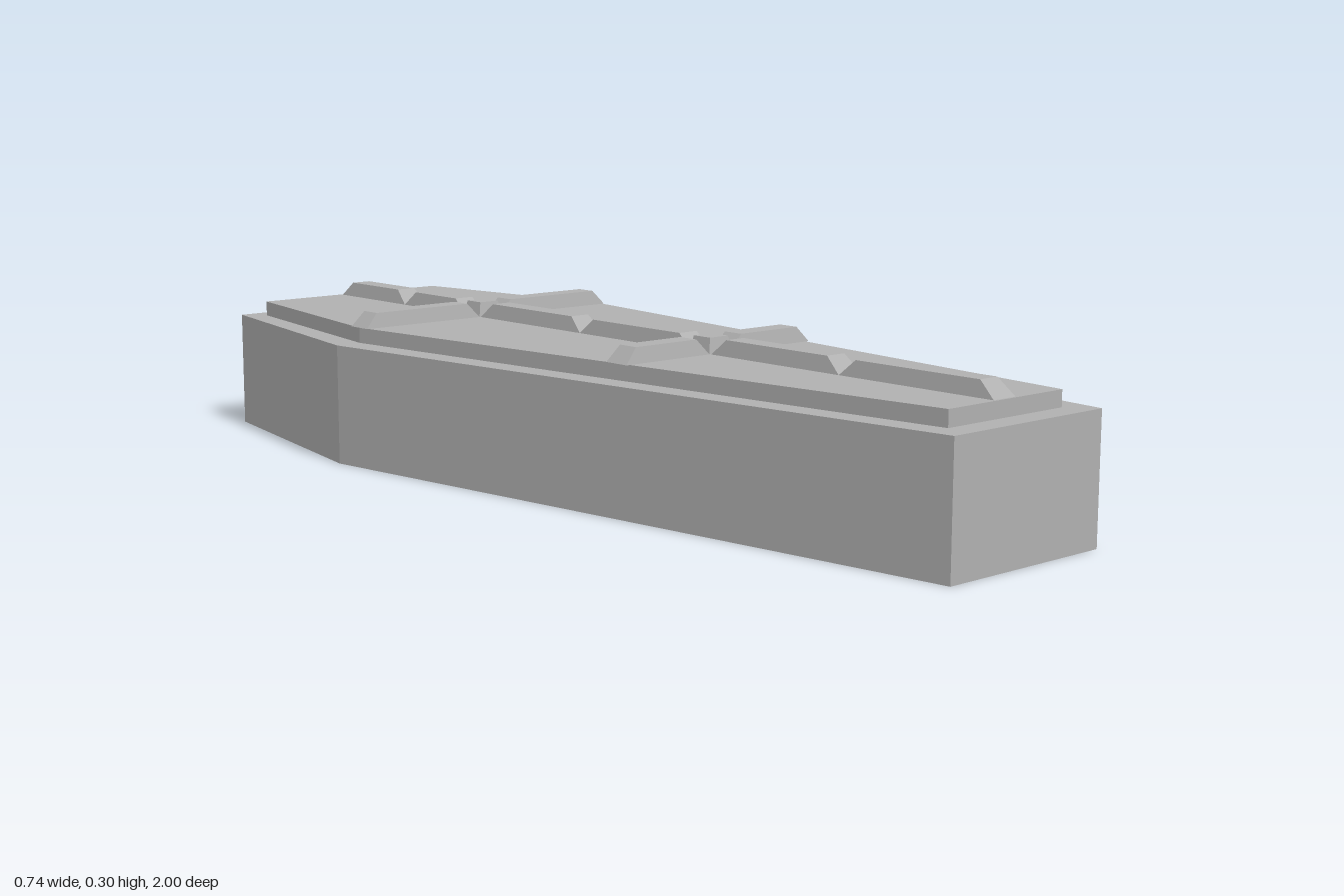
import * as THREE from 'three';

const stone = new THREE.MeshStandardMaterial({ color: 0xb0b0b0 });
stone.name = 'stone grey';

const LID_TOP = 0.274;
const RIB_HEIGHT = 0.03;
const RIB_HALF = 0.028;

// Six-sided tapered slab; sections are [z, halfWidth] from front to back
function slab(name, sections, y, height) {
  const right = sections.map(([z, w]) => new THREE.Vector2(w, -z));
  const left = sections.map(([z, w]) => new THREE.Vector2(-w, -z)).reverse();
  const geo = new THREE.ExtrudeGeometry(new THREE.Shape([...right, ...left]), { depth: height, bevelEnabled: false });
  geo.rotateX(-Math.PI / 2);
  geo.translate(0, y, 0);
  const mesh = new THREE.Mesh(geo, stone);
  mesh.name = name;
  return mesh;
}

// Raised bar spanning x0..x1 and z0..z1, its top edges pulled in by insetX and insetZ
function rib(name, x0, x1, z0, z1, insetX, insetZ) {
  const w = x1 - x0, d = z1 - z0;
  const geo = new THREE.BoxGeometry(w, RIB_HEIGHT, d);
  const p = geo.attributes.position;
  for (let i = 0; i < p.count; i++) {
    if (p.getY(i) < 0) continue;
    p.setX(i, Math.sign(p.getX(i)) * (w / 2 - insetX));
    p.setZ(i, Math.sign(p.getZ(i)) * (d / 2 - insetZ));
  }
  geo.computeVertexNormals();
  geo.translate((x0 + x1) / 2, LID_TOP + RIB_HEIGHT / 2, (z0 + z1) / 2);
  const mesh = new THREE.Mesh(geo, stone);
  mesh.name = name;
  return mesh;
}

export function createModel() {
  const model = new THREE.Group();
  model.name = 'coffin';

  // Box and the smaller lid on it
  model.add(slab('box', [[1, 0.19], [-0.46, 0.37], [-1, 0.265]], 0, 0.243));
  model.add(slab('lid', [[0.95, 0.146], [-0.46, 0.315], [-0.955, 0.228]], 0.243, LID_TOP - 0.243));

  // Lengthwise bar, in segments with sloped ends
  const spine = new THREE.Group();
  spine.name = 'lengthwiseBar';
  const spans = [[0.6, 0.945], [0.276, 0.6], [-0.105, 0.216], [-0.43, -0.105], [-0.706, -0.492], [-0.95, -0.706]];
  for (const [z0, z1] of spans) {
    spine.add(rib('barSegment', -RIB_HALF, RIB_HALF, z0, z1, 0.006, 0.034));
  }
  model.add(spine);

  // Two crossbars, each with a small block at the crossing
  for (const [name, z, reach] of [['frontCrossbar', 0.245, 0.235], ['backCrossbar', -0.46, 0.315]]) {
    const bar = new THREE.Group();
    bar.name = name;
    const z0 = z - RIB_HALF, z1 = z + RIB_HALF;
    bar.add(rib('leftArm', 0.03, reach, z0, z1, 0.028, 0.006));
    bar.add(rib('rightArm', -reach, -0.03, z0, z1, 0.028, 0.006));
    bar.add(rib('crossingBlock', -0.03, 0.03, z0, z1, 0.007, 0.006));
    model.add(bar);
  }
  return model;
}
